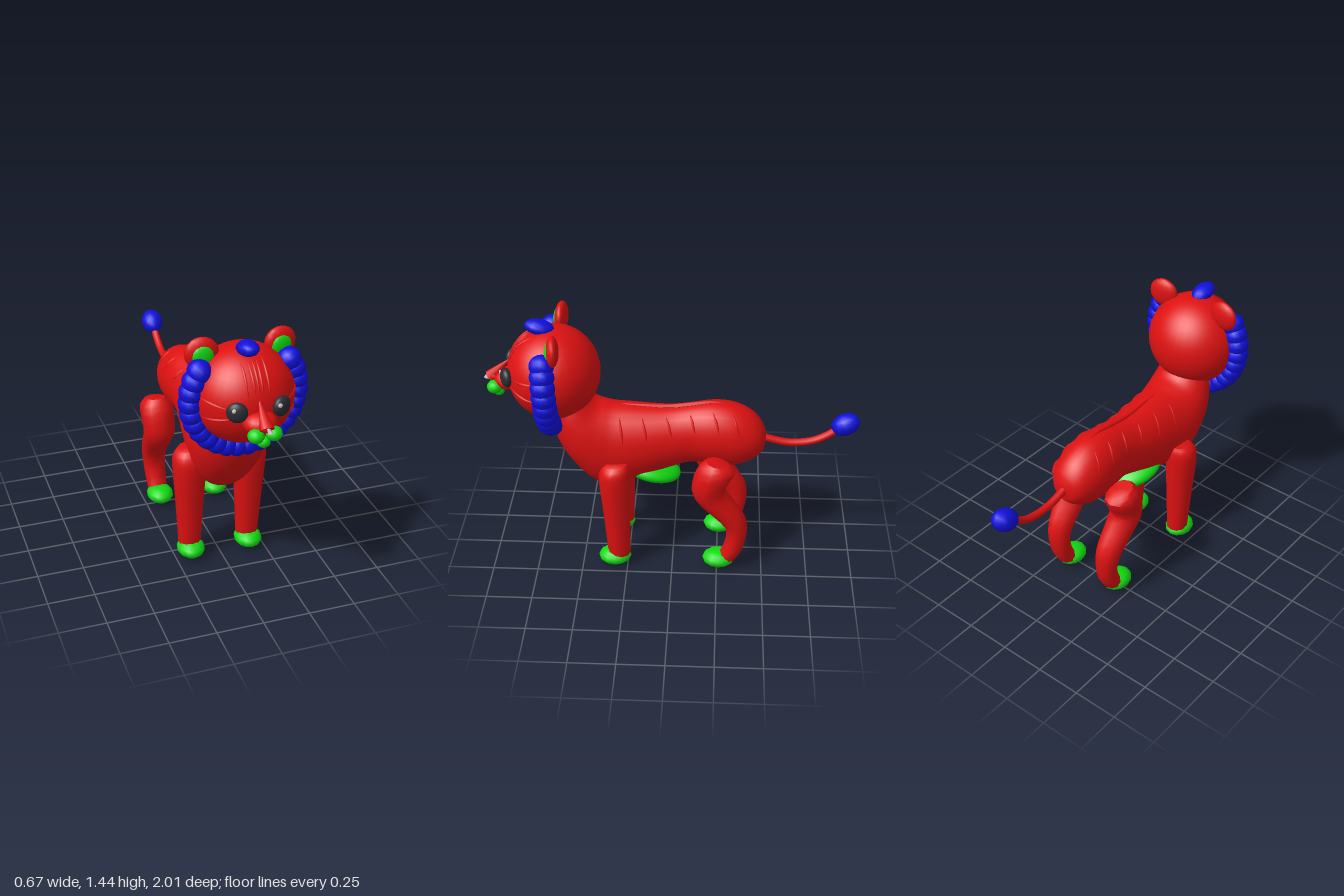
import * as THREE from 'three';
import { toCreasedNormals } from 'three/addons/utils/BufferGeometryUtils.js';

const mat = (name, color) => Object.assign(new THREE.MeshStandardMaterial({ color }), { name });
const V = (x, y, z) => new THREE.Vector3(x, y, z);

// Two matching rails (z, y) and half-widths give a smooth run of elliptical sections
function sections(rings, x = 0) {
  const a = new THREE.CatmullRomCurve3(rings.map(r => V(r[4], r[1], r[0])), false, 'catmullrom');
  const b = new THREE.CatmullRomCurve3(rings.map(r => V(r[4], r[3], r[2])), false, 'catmullrom');
  return (t, ang) => {
    const p = a.getPoint(t), q = b.getPoint(t), c = Math.cos(ang);
    return V(x + p.x * Math.sin(ang), (p.y + q.y) / 2 + (p.y - q.y) / 2 * c, (p.z + q.z) / 2 + (p.z - q.z) / 2 * c);
  };
}

// Closed skin over the sections
function loft(point, steps, sides) {
  const pos = [], idx = [];
  for (let i = 0; i <= steps; i++)
    for (let j = 0; j < sides; j++) pos.push(...point(i / steps, j / sides * Math.PI * 2).toArray());
  const c0 = pos.length / 3, last = steps * sides;
  for (const t of [0, 1])
    pos.push(...point(t, 0).add(point(t, Math.PI)).multiplyScalar(0.5).toArray());
  for (let j = 0; j < sides; j++) {
    const k = (j + 1) % sides;
    for (let i = 0; i < steps; i++) {
      const p = i * sides, q = p + sides;
      idx.push(p + j, q + j, p + k, q + j, q + k, p + k);
    }
    idx.push(c0, j, k, c0 + 1, last + k, last + j);
  }
  const g = new THREE.BufferGeometry();
  g.setAttribute('position', new THREE.Float32BufferAttribute(pos, 3));
  g.setIndex(idx);
  g.computeVertexNormals();
  return g;
}

// Thin raised line, pointed at both ends
function ridge(points, r) {
  const curve = new THREE.CatmullRomCurve3(points), n = 16, m = 6;
  const g = new THREE.TubeGeometry(curve, n, r, m);
  const p = g.attributes.position, v = V(0, 0, 0);
  for (let k = 0; k < p.count; k++) {
    const t = Math.floor(k / (m + 1)) / n;
    v.fromBufferAttribute(p, k).lerp(curve.getPointAt(t), 1 - Math.sin(Math.PI * t));
    p.setXYZ(k, v.x, v.y, v.z);
  }
  g.computeVertexNormals();
  return g;
}

export function createModel() {
  const model = new THREE.Group();
  model.name = 'cub';
  const red = mat('red coat', 0xdd1111), blue = mat('blue mane', 0x0f0fdd), green = mat('green trim', 0x11d911);
  const dark = mat('dark eye', 0x2a2c32), light = mat('light shine', 0xd8cccc);

  const add = (name, geo, material) => {
    const m = new THREE.Mesh(geo, material);
    m.name = name;
    model.add(m);
    return m;
  };
  const ball = (name, material, pos, size, rx = 0, ry = 0, rz = 0, w = 16, h = 12) => {
    const m = add(name, new THREE.SphereGeometry(1, w, h), material);
    m.position.set(...pos);
    m.scale.set(...size);
    m.rotation.set(rx, ry, rz);
    return m;
  };

  // Body: top z, y, bottom z, y, half-width, from rump to neck
  const bodyRings = [
    [-0.5, 0.79, -0.5, 0.74, 0.025], [-0.475, 0.85, -0.485, 0.68, 0.08], [-0.42, 0.91, -0.43, 0.63, 0.12],
    [-0.33, 0.955, -0.34, 0.595, 0.143], [-0.22, 0.967, -0.22, 0.6, 0.143], [-0.1, 0.95, -0.1, 0.605, 0.131],
    [0, 0.935, 0, 0.575, 0.138], [0.1, 0.935, 0.12, 0.53, 0.155], [0.22, 0.942, 0.26, 0.475, 0.172],
    [0.31, 0.947, 0.37, 0.457, 0.182], [0.36, 0.955, 0.46, 0.505, 0.188], [0.4, 0.965, 0.55, 0.61, 0.187],
    [0.43, 0.985, 0.605, 0.7, 0.178], [0.47, 1.03, 0.64, 0.79, 0.16], [0.53, 1.09, 0.65, 0.88, 0.13]];
  const body = sections(bodyRings);
  add('body', loft(body, 56, 28), red);
  ball('belly', green, [0, 0.542, 0.12], [0.125, 0.058, 0.165], -0.24, 0, 0, 24, 16);

  // Back line and flank stripes lying on the body
  const atZ = z => { let t = 0; while (t < 1 && body(t, 0).z < z) t += 0.002; return t; };
  add('backLine', ridge([-0.34, -0.22, -0.1, 0.02, 0.15, 0.29].map(z => body(atZ(z), 0)), 0.014), red);
  for (const z of [0.26, 0.14, 0.015, -0.11, -0.235, -0.34])
    for (const s of [1, -1])
      add('flankStripe', ridge([0.5, 0.75, 1, 1.25].map((a, i) => body(atZ(z + 0.02 - i * 0.012), s * a)), 0.007), red);

  // Legs and paws
  const foreRings = [[0.355, 0.67, 0.24, 0.67, 0.05], [0.385, 0.635, 0.225, 0.635, 0.083], [0.398, 0.56, 0.22, 0.56, 0.09],
    [0.378, 0.33, 0.228, 0.33, 0.075], [0.358, 0.07, 0.235, 0.07, 0.06]];
  const hindRings = [[-0.18, 0.715, -0.3, 0.69, 0.055], [-0.135, 0.665, -0.34, 0.65, 0.09], [-0.108, 0.57, -0.315, 0.585, 0.092],
    [-0.115, 0.48, -0.29, 0.53, 0.088], [-0.18, 0.4, -0.345, 0.44, 0.08], [-0.255, 0.325, -0.4, 0.35, 0.073],
    [-0.3, 0.25, -0.415, 0.25, 0.066], [-0.288, 0.15, -0.395, 0.13, 0.06], [-0.25, 0.07, -0.355, 0.055, 0.056]];
  for (const s of [1, -1]) {
    for (const [name, rings, pawZ, topX] of [['front', foreRings, 0.32, 0.17], ['hind', hindRings, -0.26, 0.188]]) {
      const base = sections(rings);
      const leg = (t, a) => { const p = base(t, a); p.x += s * (topX + (0.165 - topX) * t); return p; };
      add(name + 'Leg', toCreasedNormals(loft(leg, 16, 10), 0.8), red);
      ball(name + 'Paw', green, [s * 0.165, 0.055, pawZ], [0.076, 0.049, 0.091], 0, 0, 0, 12, 8);
      ball(name + 'Pad', light, [s * 0.165, 0.007, pawZ], [0.028, 0.007, 0.03], 0, 0, 0, 10, 6);
    }
  }

  // Tail and tuft
  const tail = new THREE.CatmullRomCurve3([V(0, 0.775, -0.44), V(0, 0.747, -0.52), V(0, 0.725, -0.63),
    V(0, 0.738, -0.75), V(0, 0.775, -0.83), V(0, 0.83, -0.9)]);
  add('tail', new THREE.TubeGeometry(tail, 28, 0.021, 10), red);
  ball('tailTuft', blue, [0, 0.846, -0.925], [0.062, 0.06, 0.08], 0.45, 0, 0, 12, 8);

  // Head and mane
  const hc = [0, 1.137, 0.632], hr = [0.26, 0.252, 0.247];
  ball('head', red, hc, hr, 0, 0, 0, 36, 24);
  const lumps = 22, from = THREE.MathUtils.degToRad(147), sweep = THREE.MathUtils.degToRad(246);
  for (let i = 0; i < lumps; i++) {
    const a = from + sweep * i / (lumps - 1);
    ball('maneLump', blue, [0.272 * Math.cos(a), 1.135 + 0.285 * Math.sin(a), 0.653 + 0.012 * Math.sin(a)],
      [0.062, 0.06, 0.066], 0, 0, a, 12, 10);
  }
  ball('foreheadTuft', blue, [0, 1.395, 0.695], [0.054, 0.04, 0.08], -0.2, 0, 0, 12, 8);

  // Face lines following the head surface
  const onHead = (x, y) => V(x, y, hc[2] + hr[2] * Math.sqrt(Math.max(0, 1 - (x / hr[0]) ** 2 - ((y - hc[1]) / hr[1]) ** 2)));
  const faceLine = (name, x0, y0, x1, y1) => add(name, ridge([0, 0.25, 0.5, 0.75, 1].map(t =>
    onHead(x0 + (x1 - x0) * t, y0 + (y1 - y0) * t)), 0.007), red);
  faceLine('browLine', 0, 1.365, 0, 1.23);
  for (const s of [1, -1]) {
    faceLine('browLine', s * 0.055, 1.37, s * 0.055, 1.21);
    faceLine('browLine', s * 0.022, 1.36, s * 0.018, 1.22);
    faceLine('cheekLine', s * 0.25, 1.18, s * 0.14, 1.158);
    faceLine('cheekLine', s * 0.245, 1.075, s * 0.125, 1.112);

    // Ears
    ball('ear', red, [s * 0.2, 1.36, 0.605], [0.086, 0.082, 0.034], 0, s * 0.1, 0, 14, 10);
    ball('innerEar', green, [s * 0.2, 1.352, 0.627], [0.056, 0.055, 0.02], 0, s * 0.1, 0, 12, 8);

    // Eyes
    const eye = onHead(s * 0.112, 1.155);
    ball('eye', dark, [eye.x, eye.y, eye.z + 0.013], [0.052, 0.052, 0.03], 0, s * 0.42, 0, 20, 14);
    ball('eyeShine', light, [eye.x - 0.02, eye.y + 0.02, eye.z + 0.038 + s * 0.007], [0.012, 0.012, 0.007], 0, 0, 0, 8, 6);

    // Muzzle lobes
    ball('muzzleLobe', green, [s * 0.045, 1.06, 0.945], [0.042, 0.036, 0.042], 0, 0, 0, 12, 8);
  }

  // Muzzle, nose and chin
  ball('muzzle', red, [0, 1.09, 0.875], [0.085, 0.057, 0.08], 0, 0, 0, 18, 12);
  const bridge = add('noseBridge', new THREE.ConeGeometry(0.036, 0.17, 10), red);
  bridge.position.set(0, 1.157, 0.91);
  bridge.rotation.x = -0.8;
  ball('nose', red, [0, 1.105, 0.952], [0.034, 0.028, 0.034], 0, 0, 0, 12, 8);
  const shine = add('noseShine', new THREE.ConeGeometry(0.014, 0.05, 4), light);
  shine.position.set(0, 1.111, 0.985);
  shine.rotation.set(-0.4, 0, 0.35);
  ball('chin', green, [0, 1.015, 0.932], [0.034, 0.029, 0.03], 0, 0, 0, 10, 8);

  return model;
}
